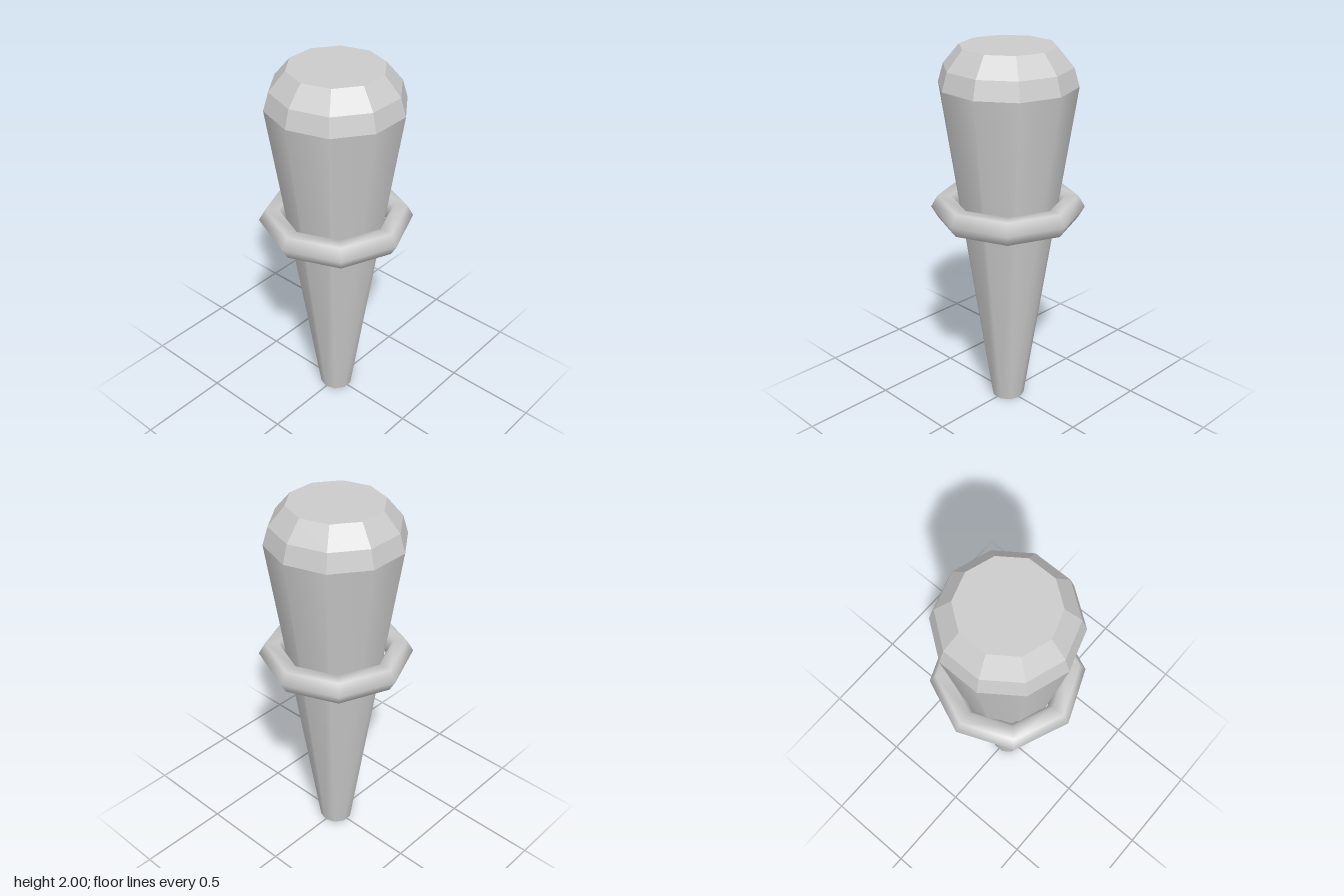
import * as THREE from 'three';

export function createModel() {
  const group = new THREE.Group();
  const smooth = new THREE.MeshStandardMaterial({ color: 0xcccccc });
  const faceted = new THREE.MeshStandardMaterial({ color: 0xcccccc, flatShading: true });

  const add = (name, geometry, material, y = 0) => {
    const mesh = new THREE.Mesh(geometry, material);
    mesh.name = name;
    mesh.position.y = y;
    group.add(mesh);
  };

  const SIDES = 10;
  const SHAFT_HEIGHT = 1.805;

  // Tapered ten-sided shaft, corners on the x axis
  const shaft = new THREE.CylinderGeometry(0.358, 0.09, SHAFT_HEIGHT, SIDES);
  shaft.rotateY(Math.PI / 2);
  add('shaft', shaft, smooth, SHAFT_HEIGHT / 2);

  // Faceted rounded cap with a flat top
  const profile = [[0.358, SHAFT_HEIGHT], [0.33, 1.9], [0.246, 2], [0, 2]]
    .map(([r, y]) => new THREE.Vector2(r, y));
  const cap = new THREE.LatheGeometry(profile, SIDES, Math.PI / 2);
  add('cap', cap, faceted);

  // Eight-sided ring around the shaft, with a hexagonal section
  const ring = new THREE.TorusGeometry(0.335, 0.07, 6, 8);
  ring.rotateX(Math.PI / 2);
  add('ring', ring, smooth, 1.147);

  return group;
}
